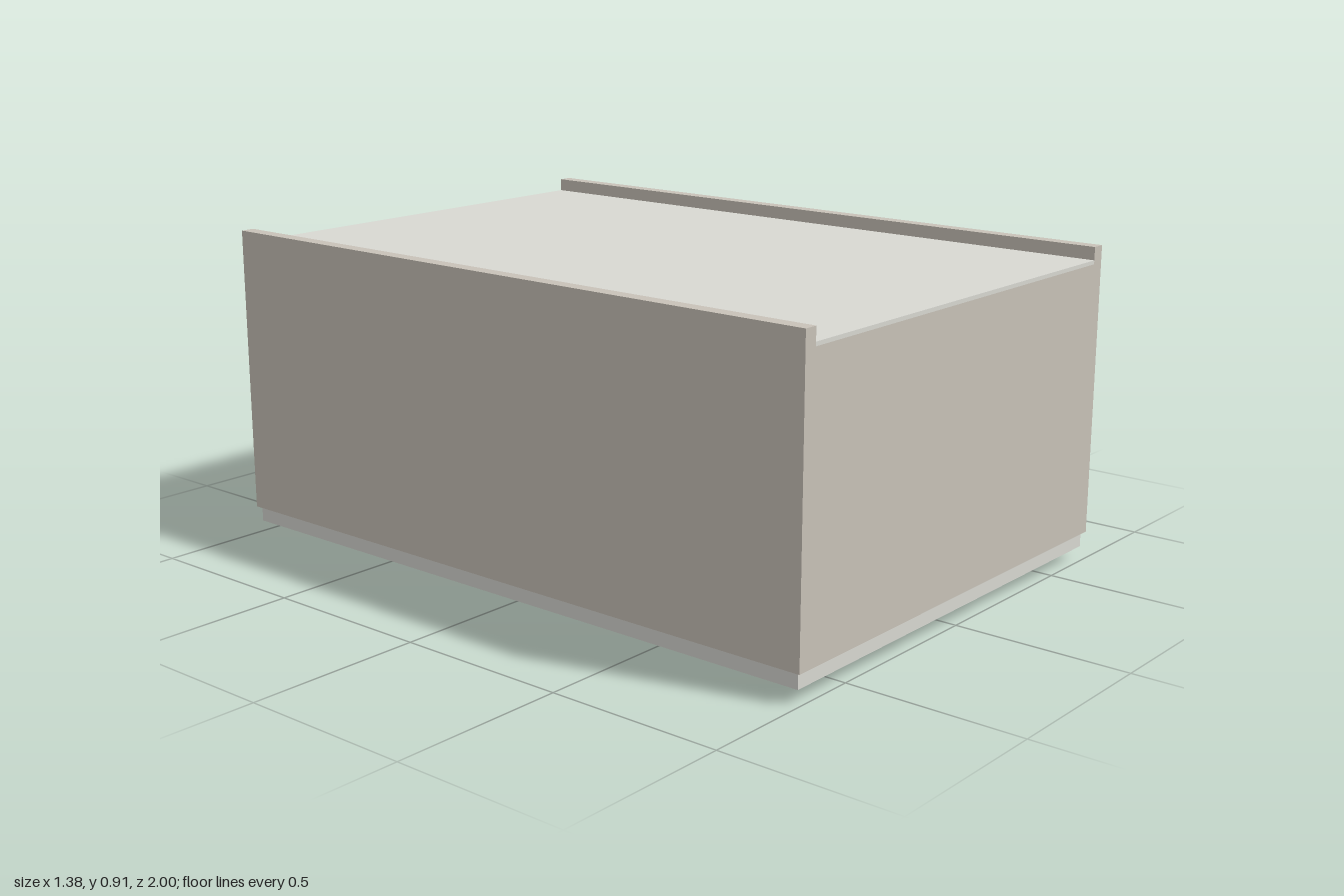
import * as THREE from 'three';

const carcassMat = new THREE.MeshStandardMaterial({ color: 0xc8c2b8 });
const panelMat = new THREE.MeshStandardMaterial({ color: 0xd8d8d2 });
const handleMat = new THREE.MeshStandardMaterial({ color: 0x808086 });

// Box given by its limits on each axis
function board(name, material, [x0, x1], [y0, y1], [z0, z1]) {
  const mesh = new THREE.Mesh(new THREE.BoxGeometry(x1 - x0, y1 - y0, z1 - z0), material);
  mesh.position.set((x0 + x1) / 2, (y0 + y1) / 2, (z0 + z1) / 2);
  mesh.name = name;
  return mesh;
}

export function createModel() {
  const cabinet = new THREE.Group();
  cabinet.name = 'cabinet';

  // Cabinet lying on its door: side boards stand proud of the back panel
  cabinet.add(
    board('leftSide', carcassMat, [0.65, 0.69], [0.081, 0.911], [-1, 1]),
    board('rightSide', carcassMat, [-0.69, -0.65], [0.081, 0.911], [-1, 1])
  );

  // End boards between the sides
  cabinet.add(
    board('frontEnd', carcassMat, [-0.65, 0.65], [0.081, 0.863], [0.96, 1]),
    board('rearEnd', carcassMat, [-0.65, 0.65], [0.081, 0.863], [-1, -0.96])
  );

  // Thin recessed panel closing the upper face
  cabinet.add(board('backPanel', panelMat, [-0.65, 0.65], [0.863, 0.874], [-1, 1]));

  // Door underneath, slightly smaller than the carcass, with its bar handle
  cabinet.add(
    board('door', panelMat, [-0.68, 0.68], [0.037, 0.081], [-0.987, 0.989]),
    board('handle', handleMat, [-0.132, 0.132], [0, 0.037], [0.77, 0.802])
  );

  return cabinet;
}
